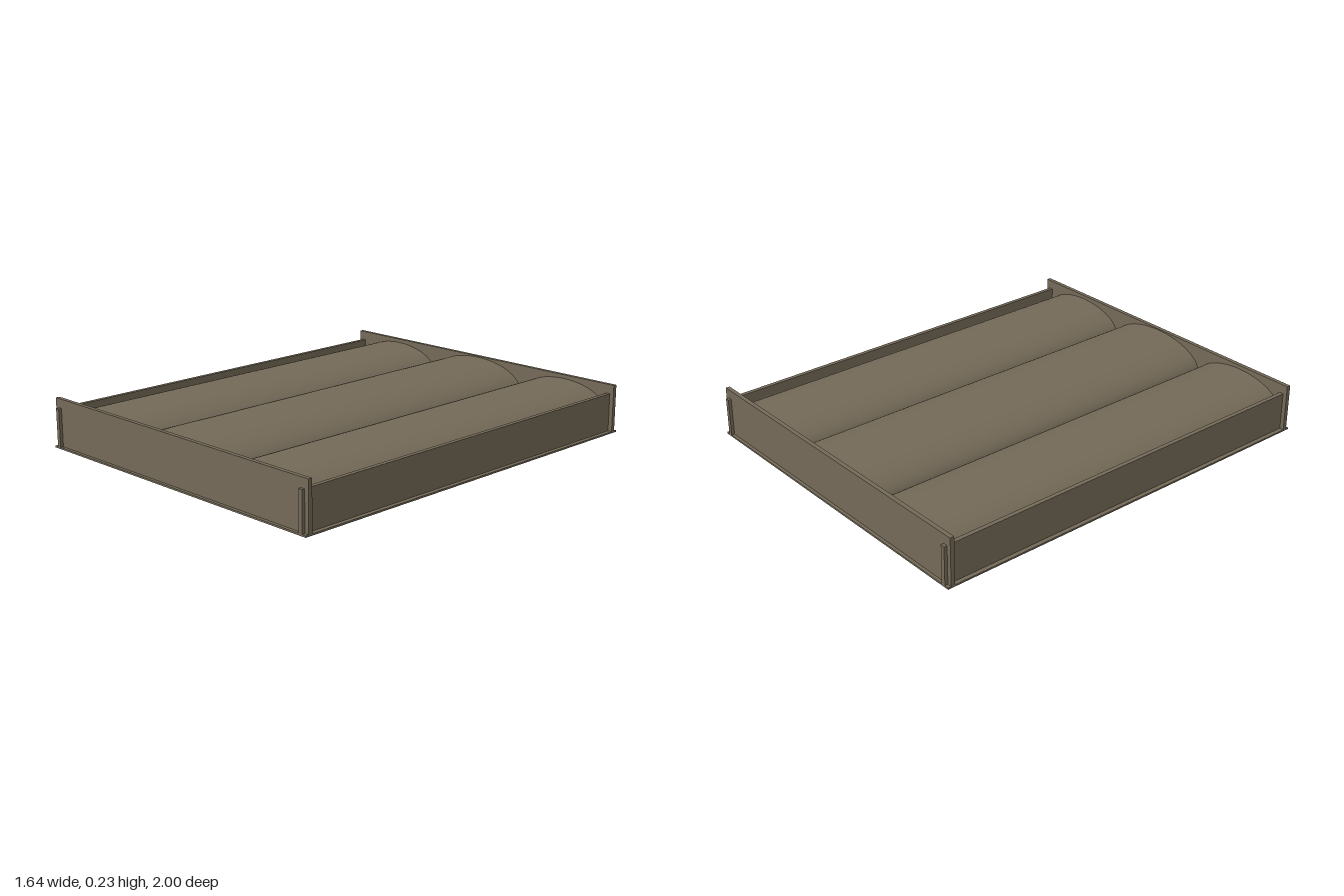
import * as THREE from 'three';

export function createModel() {
  const group = new THREE.Group();
  const wood = new THREE.MeshStandardMaterial({ color: 0x746a58 });
  wood.name = 'greyBrown';

  const add = (name, geometry, x, y, z) => {
    const mesh = new THREE.Mesh(geometry, wood);
    mesh.name = name;
    mesh.position.set(x, y, z);
    group.add(mesh);
  };
  // Box resting on height y0
  const board = (name, w, h, d, x, y0, z) =>
    add(name, new THREE.BoxGeometry(w, h, d), x, y0 + h / 2, z);

  // Thin bottom plate and the filling under the mounds
  const plate = 0.008;
  board('basePlate', 1.64, plate, 2, 0, 0, 0);
  board('filling', 1.56, 0.092, 1.93, 0, plate, 0);

  for (const s of [-1, 1]) {
    // Tall end boards; the side boards pass through them
    board('endBoard', 1.64, 0.222, 0.02, 0, plate, s * 0.975);
    board('sideBoard', 0.02, 0.179, 2, s * 0.79, plate, 0);
    // Low dividers in the valleys between mounds
    board('divider', 0.014, 0.11, 1.93, s * 0.283, plate, 0);
  }

  // Long rounded mound: upper half of an elliptical cylinder lying along z
  const mound = (name, x, halfWidth, height) => {
    const g = new THREE.CylinderGeometry(1, 1, 1.93, 40, 1, true, Math.PI / 2, Math.PI);
    g.rotateX(Math.PI / 2);
    g.scale(halfWidth, height, 1);
    add(name, g, x, 0.1, 0);
  };
  mound('centreMound', 0, 0.277, 0.125);
  mound('leftMound', 0.533, 0.244, 0.112);
  mound('rightMound', -0.533, 0.244, 0.112);

  return group;
}
